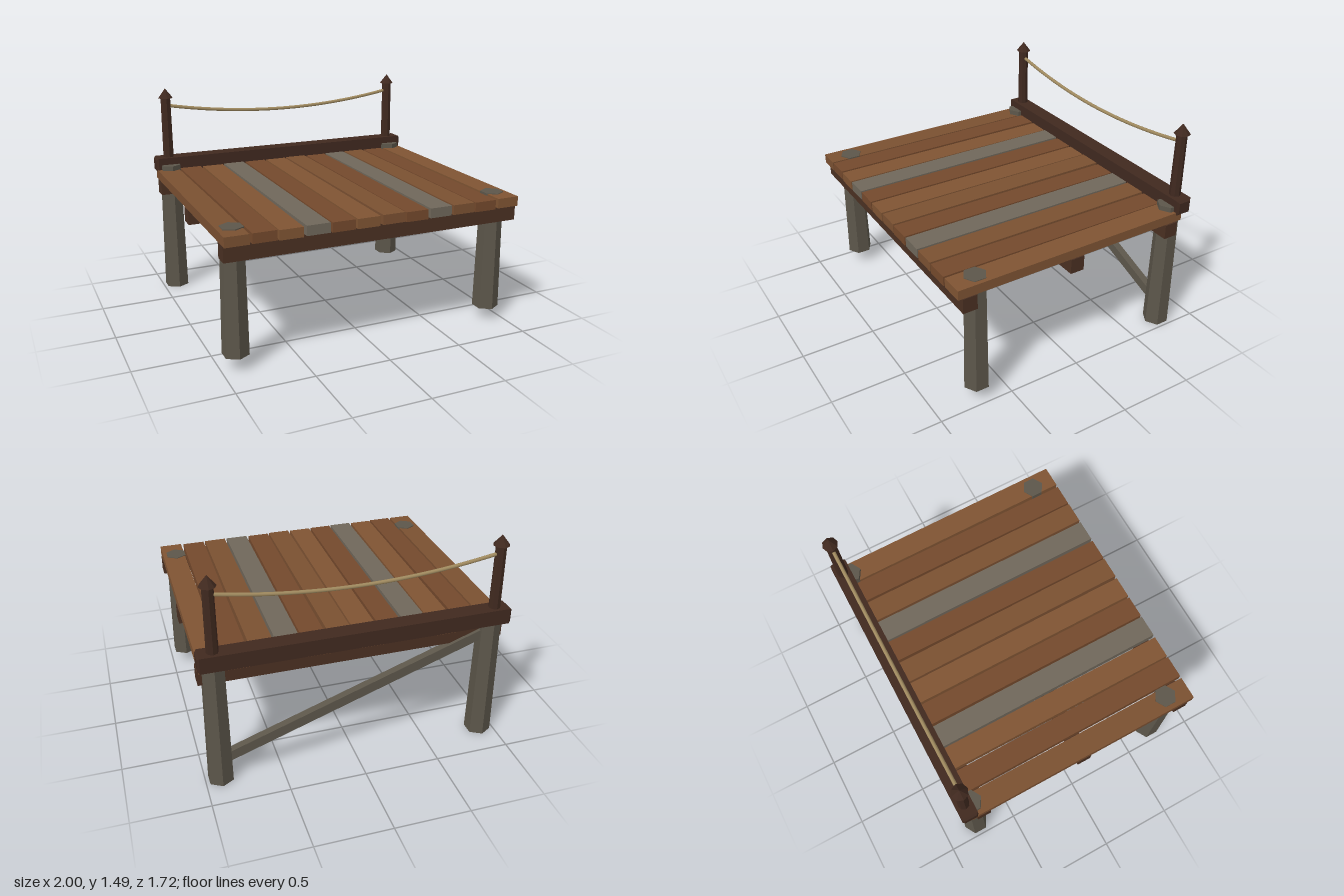
import * as THREE from 'three';

const mat = (color) => new THREE.MeshStandardMaterial({ color, flatShading: true });

export function createModel() {
  const dock = new THREE.Group();
  dock.name = 'dock';

  const darkWood = mat(0x4a3022);
  const railWood = mat(0x40291f);
  const pileWood = mat(0x5c564a);
  const greyPlank = mat(0x6f675a);
  const brownPlanks = [0x7a5031, 0x74492c, 0x7f5433].map(mat);
  const ropeMat = new THREE.MeshStandardMaterial({ color: 0xa08a5f });

  const add = (name, geometry, material, x = 0, y = 0, z = 0) => {
    const mesh = new THREE.Mesh(geometry, material);
    mesh.name = name;
    mesh.position.set(x, y, z);
    dock.add(mesh);
    return mesh;
  };

  // Deck planks, slightly uneven, two of them weathered grey
  const count = 12;
  const pitch = 0.1667;
  for (let i = 0; i < count; i++) {
    const weathered = i === 3 || i === 8;
    const wobble = Math.sin(i * 2.4);
    const plank = add('plank', new THREE.BoxGeometry(0.152, 0.064, 1.66),
      weathered ? greyPlank : brownPlanks[i % 3],
      (i - (count - 1) / 2) * pitch - 0.003, 0.868 + wobble * 0.002, 0.03);
    plank.rotation.y = wobble * 0.003;
  }

  // Cross beams under the deck
  for (const z of [-0.717, 0.032, 0.783]) {
    add('crossBeam', new THREE.BoxGeometry(1.99, 0.1, 0.096), darkWood, 0, 0.785, z);
  }

  // Hexagonal piles; the rear pair is longer and stands proud of the deck
  const pile = (name, x, z, bottom, top) => add(name,
    new THREE.CylinderGeometry(0.075, 0.087, top - bottom, 6), pileWood, x, (top + bottom) / 2, z);

  // Railing post with a pointed cap
  const post = (x, z) => {
    add('railPost', new THREE.CylinderGeometry(0.035, 0.038, 0.48, 8), railWood, x, 1.18, z);
    add('postCap', new THREE.ConeGeometry(0.053, 0.068, 8), railWood, x, 1.451, z);
  };

  for (const side of [-1, 1]) {
    pile('frontPile', side * 0.9, 0.697, 0.09, 0.906);
    pile('rearPile', side * 0.9, -0.762, 0, 0.935);
    post(side * 0.9, -0.808);
  }

  // Chamfered kerb along the rear edge
  const c = 0.014;
  const w = 0.0565 - c;
  const h = 0.0525 - c;
  const profile = new THREE.Shape([[-w, -h], [w, -h], [w, h], [-w, h]]
    .map(([x, y]) => new THREE.Vector2(x, y)));
  const kerbLength = 2 - 2 * c;
  const kerb = new THREE.ExtrudeGeometry(profile, {
    depth: kerbLength, bevelEnabled: true, bevelSize: c, bevelThickness: c, bevelSegments: 1,
  });
  kerb.translate(0, 0, -kerbLength / 2).rotateY(Math.PI / 2);
  add('rearKerb', kerb, railWood, 0, 0.932, -0.808);

  // Diagonal brace between the rear piles
  const brace = add('diagonalBrace', new THREE.BoxGeometry(1.86, 0.067, 0.05), pileWood, 0, 0.474, -0.762);
  brace.rotation.z = -Math.atan(0.358);

  // Sagging rope between the posts
  const sag = new THREE.QuadraticBezierCurve3(
    new THREE.Vector3(-0.89, 1.362, -0.808),
    new THREE.Vector3(0, 1.194, -0.808),
    new THREE.Vector3(0.89, 1.362, -0.808));
  add('rope', new THREE.TubeGeometry(sag, 24, 0.012, 8), ropeMat);

  return dock;
}
